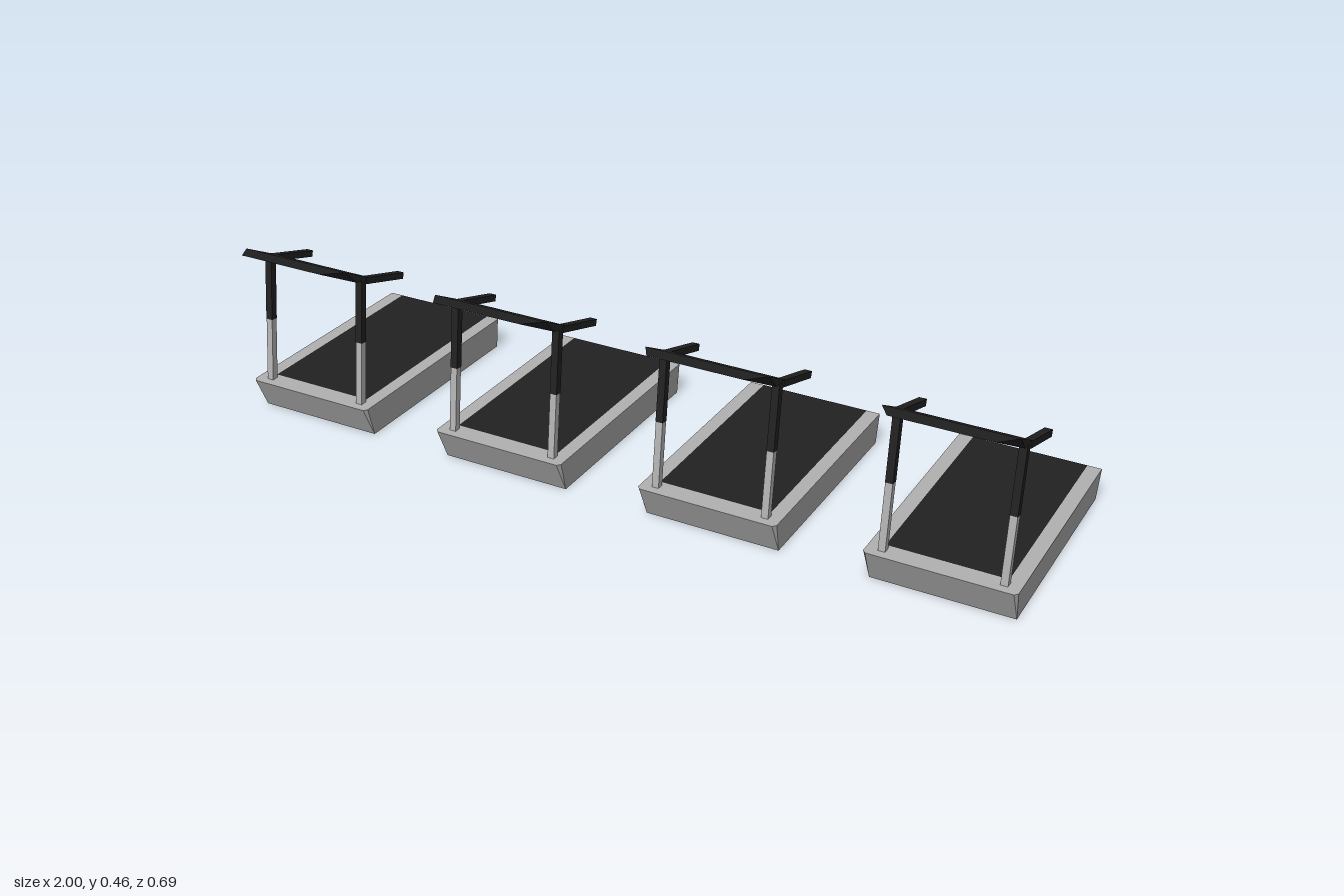
import * as THREE from 'three';
import { ConvexGeometry } from 'three/addons/geometries/ConvexGeometry.js';

const silver = new THREE.MeshStandardMaterial({ color: 0xb2b2b2 });
silver.name = 'silver';
const black = new THREE.MeshStandardMaterial({ color: 0x222222 });
black.name = 'black';

const TOP = 0.083, MID = 0.042;   // deck heights
const BELT = 0.139;               // half width of the belt
const BACK = -0.302, TIP = -0.343, FRONT = 0.236;

// Faceted solid from its corner points
function solid(name, material, points) {
  const mesh = new THREE.Mesh(new ConvexGeometry(points.map(p => new THREE.Vector3(...p))), material);
  mesh.name = name;
  return mesh;
}

// Same points on both sides of the centre line
const mirrored = pts => pts.flatMap(([x, y, z]) => [[x, y, z], [-x, y, z]]);

// Square bar running between two points in the y-z plane
function bar(name, material, x, [y0, z0], [y1, z1], width, depth) {
  const length = Math.hypot(y1 - y0, z1 - z0);
  const mesh = new THREE.Mesh(new THREE.BoxGeometry(width, length, depth), material);
  mesh.position.set(x, (y0 + y1) / 2, (z0 + z1) / 2);
  mesh.rotation.x = Math.atan2(z1 - z0, y1 - y0);
  mesh.name = name;
  return mesh;
}

function createTreadmill() {
  const g = new THREE.Group();
  g.name = 'treadmill';

  // Running belt, wrapping round a pointed rear end
  g.add(solid('belt', black, mirrored([
    [BELT, TOP, FRONT], [BELT, 0, 0.246],
    [BELT, TOP, BACK], [BELT, 0, BACK], [BELT, MID, TIP],
  ])));

  // Sloping front of the frame with clipped corners
  g.add(solid('frontFrame', silver, mirrored([
    [0.1735, TOP, FRONT], [0.1735, TOP, 0.278], [0.166, TOP, 0.287],
    [0.167, 0, FRONT + 0.01], [0.167, 0, 0.25],
  ])));

  for (const s of [1, -1]) {
    // Side rail with pointed rear cap
    g.add(solid('sideRail', silver, [
      [s * BELT, TOP, FRONT], [s * BELT, 0, FRONT + 0.01],
      [s * 0.1735, TOP, FRONT], [s * 0.167, 0, FRONT + 0.01],
      [s * BELT, TOP, BACK], [s * BELT, 0, BACK],
      [s * 0.1735, TOP, BACK], [s * 0.167, 0, BACK],
      [s * BELT, MID, TIP],
    ]));

    // Post in two colours, and the handle
    g.add(bar('lowerPost', silver, s * 0.137, [0.078, 0.257], [0.241, 0.2375], 0.017, 0.017));
    g.add(bar('upperPost', black, s * 0.137, [0.241, 0.2375], [0.401, 0.218], 0.018, 0.018));
    g.add(bar('handle', black, s * 0.14, [0.396, 0.213], [0.352, 0.067], 0.018, 0.016));
  }

  // Tilted console panel, narrower at its far edge
  g.add(solid('console', black, mirrored([
    [0.115, 0.457, 0.343], [0.148, 0.447, 0.288],
    [0.146, 0.396, 0.192], [0.148, 0.405, 0.248],
  ])));
  return g;
}

export function createModel() {
  const model = new THREE.Group();
  model.name = 'treadmillRow';
  for (let i = 0; i < 4; i++) {
    const t = createTreadmill();
    t.position.x = (i - 1.5) * 0.551;
    model.add(t);
  }
  return model;
}
